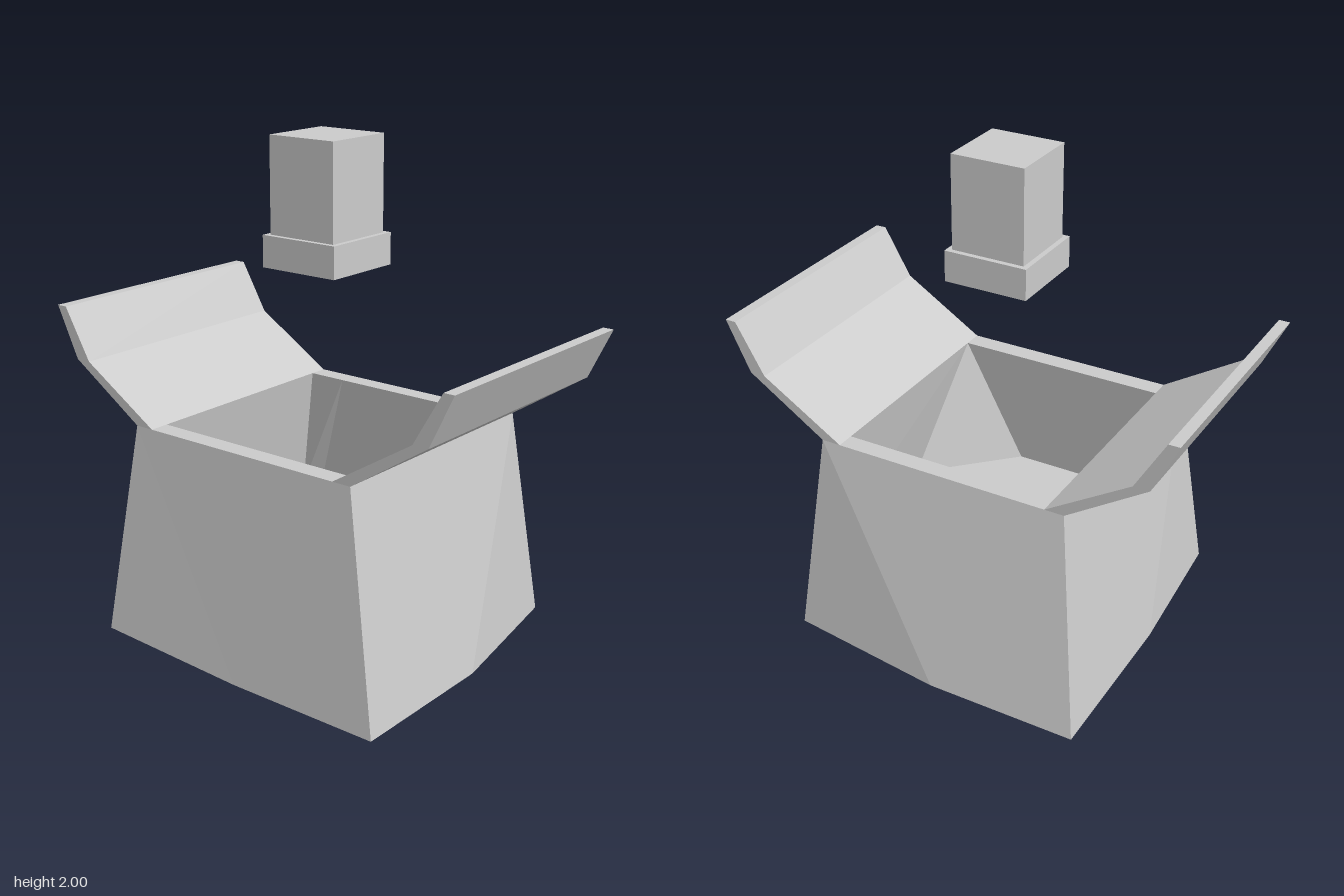
import * as THREE from 'three';

const material = new THREE.MeshStandardMaterial({ color: 0xcccccc, flatShading: true });

// Mesh from polygons; each polygon is fanned from its first corner
function polyMesh(name, polygons) {
  const pos = [];
  for (const p of polygons) {
    for (let i = 1; i < p.length - 1; i++) pos.push(...p[0], ...p[i], ...p[i + 1]);
  }
  const g = new THREE.BufferGeometry();
  g.setAttribute('position', new THREE.Float32BufferAttribute(pos, 3));
  g.computeVertexNormals();
  const m = new THREE.Mesh(g, material);
  m.name = name;
  return m;
}

// Polygons bridging two loops of corners
function bridge(a, b) {
  return a.map((p, i) => {
    const j = (i + 1) % a.length;
    return [p, a[j], b[j], b[i]];
  });
}

function box(name, size, y) {
  const m = new THREE.Mesh(new THREE.BoxGeometry(size, y[1] - y[0], size), material);
  m.position.set(0, (y[0] + y[1]) / 2, 0);
  m.name = name;
  return m;
}

export function createModel() {
  const model = new THREE.Group();
  model.name = 'openCrate';
  const rimY = 0.885;
  const zBack = -0.485, zFront = 0.56;

  // Top corners: front right, back right, back left, front left
  const top = [[0.525, zFront], [0.525, zBack], [-0.525, zBack], [-0.525, zFront]]
    .map(([x, z]) => [x, rimY, z]);
  const [tFR, tBR, tBL, tFL] = top;

  // Flared, slightly irregular base with a bend in each side
  const FR = [0.7, 0, 0.66], RM = [0.7, 0, 0.02], BR = [0.615, 0.03, -0.575], BM = [-0.05, 0.03, -0.66];
  const BL = [-0.665, 0.03, -0.66], LM = [-0.665, 0.03, 0.04], FL = [-0.62, 0.03, 0.66], FM = [0.05, 0, 0.66];
  model.add(polyMesh('outerWalls', [
    [tFL, FL, FM, FR, tFR],
    [tBR, tFR, FR, RM, BR],
    [tBR, BR, BM, BL, tBL],
    [tFL, tBL, BL, LM, FL],
  ]));
  const base = [FR, FM, FL, LM, BL, BM, BR, RM];
  model.add(polyMesh('underside', base.map((p, i) => [[0, 0.015, 0], p, base[(i + 1) % 8]])));

  // Flat rim around the opening
  const opening = [[0.445, 0.48], [0.445, -0.41], [-0.445, -0.41], [-0.445, 0.48]]
    .map(([x, z]) => [x, rimY, z]);
  model.add(polyMesh('rim', bridge(top, opening)));

  // Cavity with two cut corners
  const [iFR, iBR, iBL, iFL] = opening;
  const cavityTop = [iFR, iFR, iBR, [-0.28, rimY, -0.41], iBL, iFL];
  const floor = [[0.22, 0.56], [0.56, 0.22], [0.55, -0.5], [-0.48, -0.51], [-0.55, -0.47], [-0.55, 0.56]]
    .map(([x, z]) => [x, 0.33, z]);
  model.add(polyMesh('innerWalls', bridge(cavityTop, floor)));
  model.add(polyMesh('innerFloor', [floor]));

  // Bent flaps on both sides
  const profile = [[0.445, rimY], [0.525, rimY], [0.85, 1.095], [0.95, 1.3], [0.905, 1.3], [0.785, 1.095]];
  for (const side of [1, -1]) {
    const shape = new THREE.Shape(profile.map(([x, y]) => new THREE.Vector2(side * x, y)));
    const g = new THREE.ExtrudeGeometry(shape, { depth: zFront - zBack, bevelEnabled: false });
    g.translate(0, 0, zBack);
    const flap = new THREE.Mesh(g, material);
    flap.name = side > 0 ? 'leftFlap' : 'rightFlap';
    model.add(flap);
  }

  // Floating block above the opening
  const block = new THREE.Group();
  block.name = 'floatingBlock';
  block.add(box('blockBody', 0.302, [1.625, 2]), box('blockBase', 0.344, [1.5, 1.625]));
  block.position.z = 0.038;
  model.add(block);

  return model;
}
